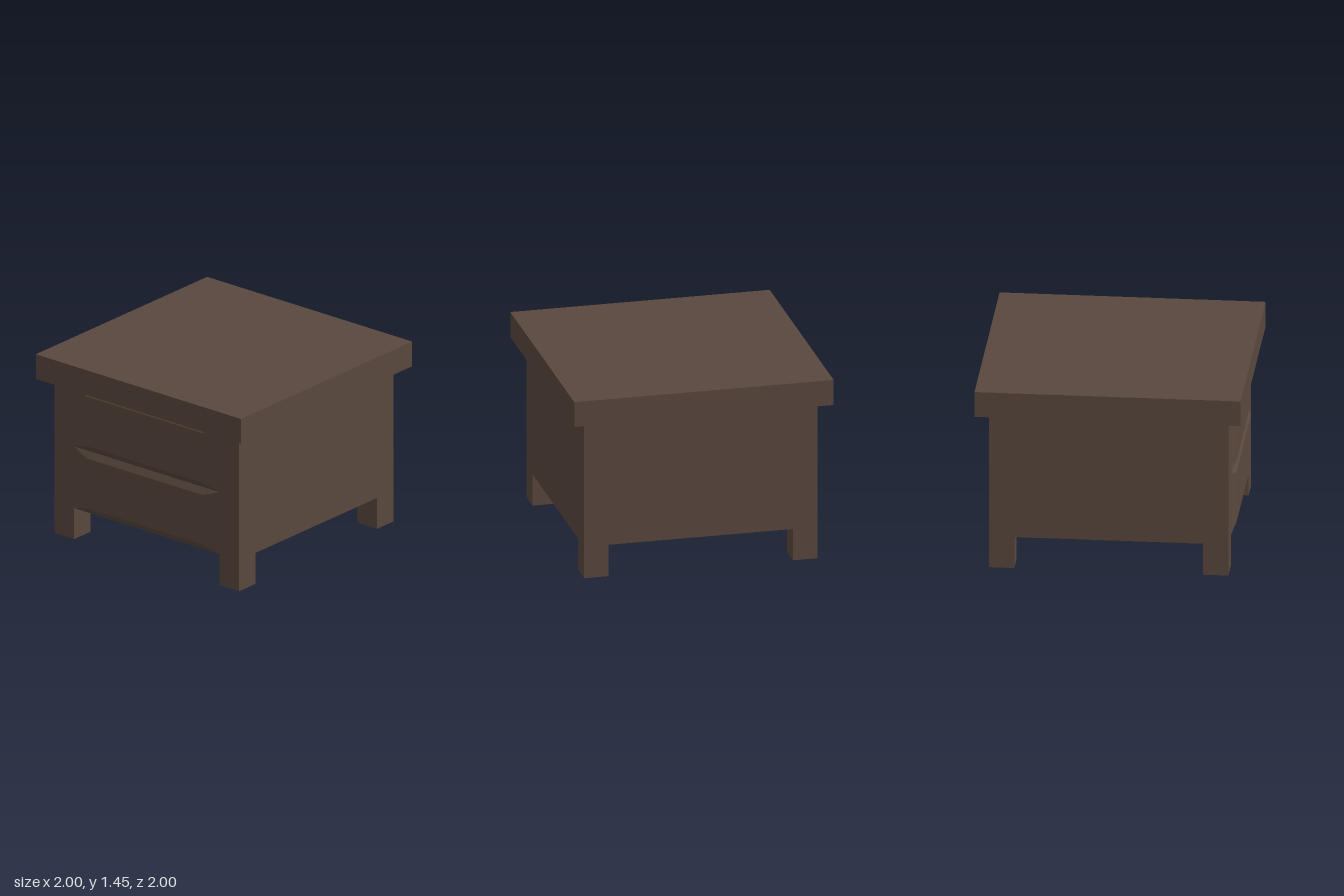
import * as THREE from 'three';

export function createModel() {
  const model = new THREE.Group();
  model.name = 'nightstand';
  const wood = new THREE.MeshStandardMaterial({ color: 0x5a483e, flatShading: true });

  const addPart = (name, geometry, x, y, z) => {
    const mesh = new THREE.Mesh(geometry, wood);
    mesh.name = name;
    mesh.position.set(x, y, z);
    model.add(mesh);
    return mesh;
  };

  // Overhanging top slab and cabinet body
  addPart('tableTop', new THREE.BoxGeometry(2, 0.2, 2), 0, 1.35, 0);
  addPart('cabinetBody', new THREE.BoxGeometry(1.8, 1, 1.8), 0, 0.75, 0);

  // Four square legs flush with the body corners
  const legSize = 0.19, legOffset = 0.9 - legSize / 2;
  for (const [zName, sz] of [['front', 1], ['back', -1]]) {
    for (const [xName, sx] of [['Left', 1], ['Right', -1]]) {
      addPart(`${zName}${xName}Leg`, new THREE.BoxGeometry(legSize, 0.25, legSize),
        sx * legOffset, 0.125, sz * legOffset);
    }
  }

  // Drawer front: a shallow box whose front face is drawn in to form wide bevels
  const drawerGeometry = () => {
    const g = new THREE.BoxGeometry(1.42, 0.5, 0.03);
    const p = g.attributes.position;
    for (let i = 0; i < p.count; i++) {
      if (p.getZ(i) > 0) {
        p.setX(i, Math.sign(p.getX(i)) * 0.565);
        p.setY(i, Math.sign(p.getY(i)) * 0.2);
      }
    }
    g.computeVertexNormals();
    return g;
  };
  addPart('lowerDrawer', drawerGeometry(), 0, 0.5, 0.915);
  addPart('upperDrawer', drawerGeometry(), 0, 1.0, 0.915);

  return model;
}
